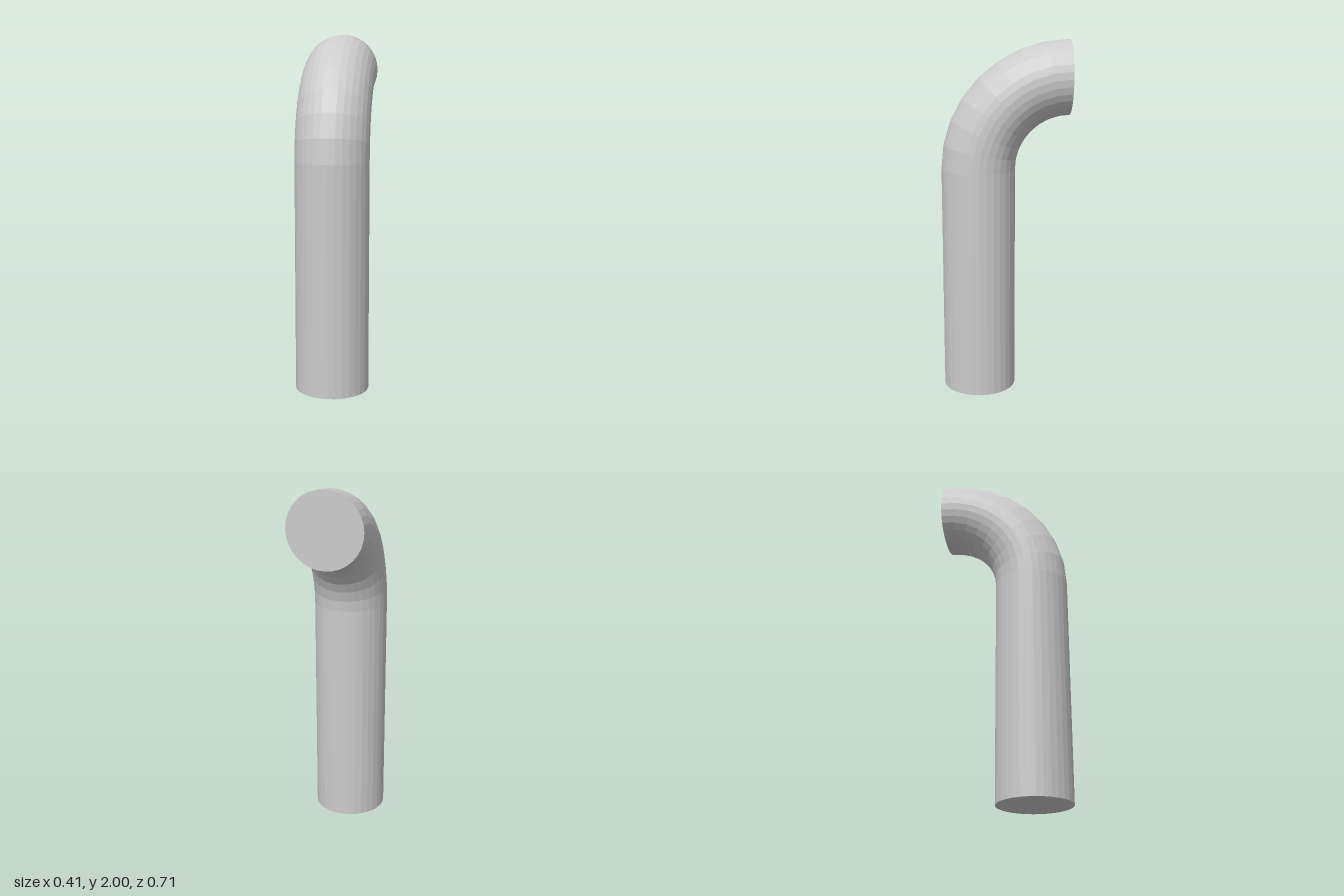
import * as THREE from 'three';

const SIDES = 32;
const R = 0.207;        // pipe radius
const BEND = 0.507;     // centre-line radius of the elbow
const BEND_Y = 1.286;   // height where the elbow starts
const BACK_Z = -0.357;  // plane of the outlet

export function createModel() {
  const group = new THREE.Group();
  group.name = 'bentPipe';
  const material = new THREE.MeshStandardMaterial({ color: 0xcccccc, flatShading: true });

  const add = (name, geometry, x, y, z) => {
    const mesh = new THREE.Mesh(geometry, material);
    mesh.name = name;
    mesh.position.set(x, y, z);
    group.add(mesh);
  };

  // Upright straight pipe, open at the top where the elbow joins
  add('straightPipe', new THREE.CylinderGeometry(R, R, BEND_Y, SIDES, 1, true), 0, BEND_Y / 2, BACK_Z + BEND);

  // Flat bottom end
  add('bottomCap', new THREE.CircleGeometry(R, SIDES).rotateX(Math.PI / 2), 0, 0, BACK_Z + BEND);

  // Quarter-turn elbow sweeping up and backwards
  add('elbow', new THREE.TorusGeometry(BEND, R, SIDES, 8, Math.PI / 2).rotateY(-Math.PI / 2), 0, BEND_Y, BACK_Z);

  // Flat rear end of the elbow
  add('rearCap', new THREE.CircleGeometry(R, SIDES).rotateY(Math.PI), 0, BEND_Y + BEND, BACK_Z);

  return group;
}
